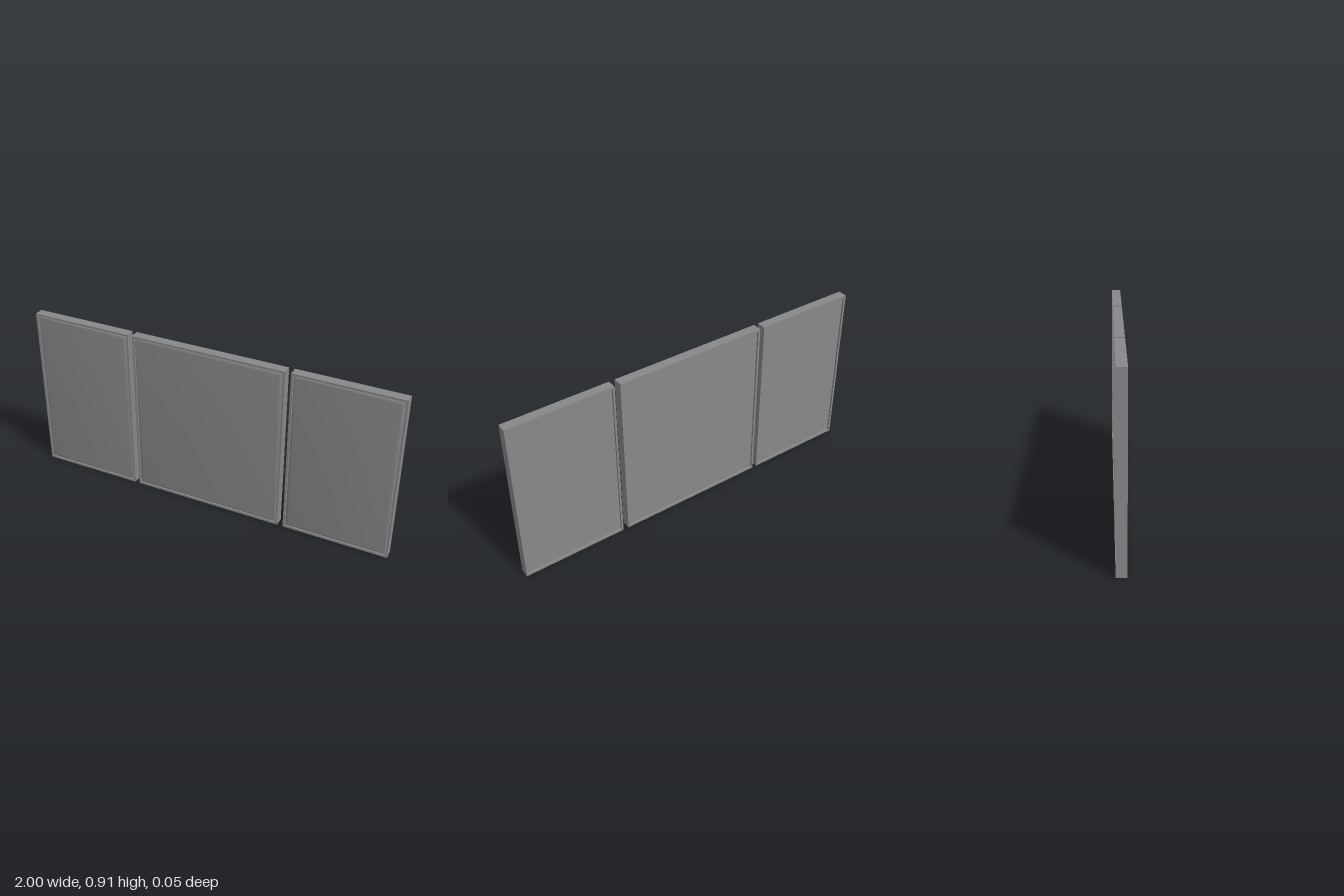
import * as THREE from 'three';
import { toCreasedNormals } from 'three/addons/utils/BufferGeometryUtils.js';

const HEIGHT = 0.91, DEPTH = 0.05, RIM = 0.011, BEVEL = 0.018;

function rectangle(Type, w, h) {
  const r = new Type();
  r.moveTo(-w / 2, -h / 2);
  r.lineTo(w / 2, -h / 2);
  r.lineTo(w / 2, h / 2);
  r.lineTo(-w / 2, h / 2);
  r.closePath();
  return r;
}

// Cushion-like field with rounded edges, its face level with the frame
function roundedField(w, h) {
  const thickness = 0.012, depth = 0.002;
  const geo = new THREE.ExtrudeGeometry(rectangle(THREE.Shape, w - 2 * BEVEL, h - 2 * BEVEL), {
    depth, bevelThickness: thickness, bevelSize: BEVEL, bevelSegments: 4,
  });
  geo.translate(0, 0, DEPTH / 2 - thickness - depth);
  return toCreasedNormals(geo, 0.6);
}

export function createModel() {
  const model = new THREE.Group();
  model.name = 'threePartPanel';
  const material = new THREE.MeshStandardMaterial({ color: 0x888888 });

  function add(parent, name, geometry) {
    const mesh = new THREE.Mesh(geometry, material);
    mesh.name = name;
    parent.add(mesh);
  }

  function framedPanel(name, x0, x1) {
    const group = new THREE.Group();
    group.name = name;
    const w = x1 - x0, iw = w - 2 * RIM, ih = HEIGHT - 2 * RIM;

    // Thin outer frame
    const outline = rectangle(THREE.Shape, w, HEIGHT);
    outline.holes.push(rectangle(THREE.Path, iw, ih));
    const frame = new THREE.ExtrudeGeometry(outline, { depth: DEPTH, bevelEnabled: false });
    add(group, 'frame', frame.translate(0, 0, -DEPTH / 2));

    // Backing board, recessed behind the rim at the rear
    add(group, 'backingBoard', new THREE.BoxGeometry(iw, ih, 0.025).translate(0, 0, -0.0025));

    // Rounded front field
    add(group, 'frontField', roundedField(iw, ih));

    group.position.set((x0 + x1) / 2, HEIGHT / 2, 0);
    model.add(group);
  }

  framedPanel('rightPanel', -1, -0.442);
  framedPanel('centrePanel', -0.417, 0.41);
  framedPanel('leftPanel', 0.44, 1);
  return model;
}
